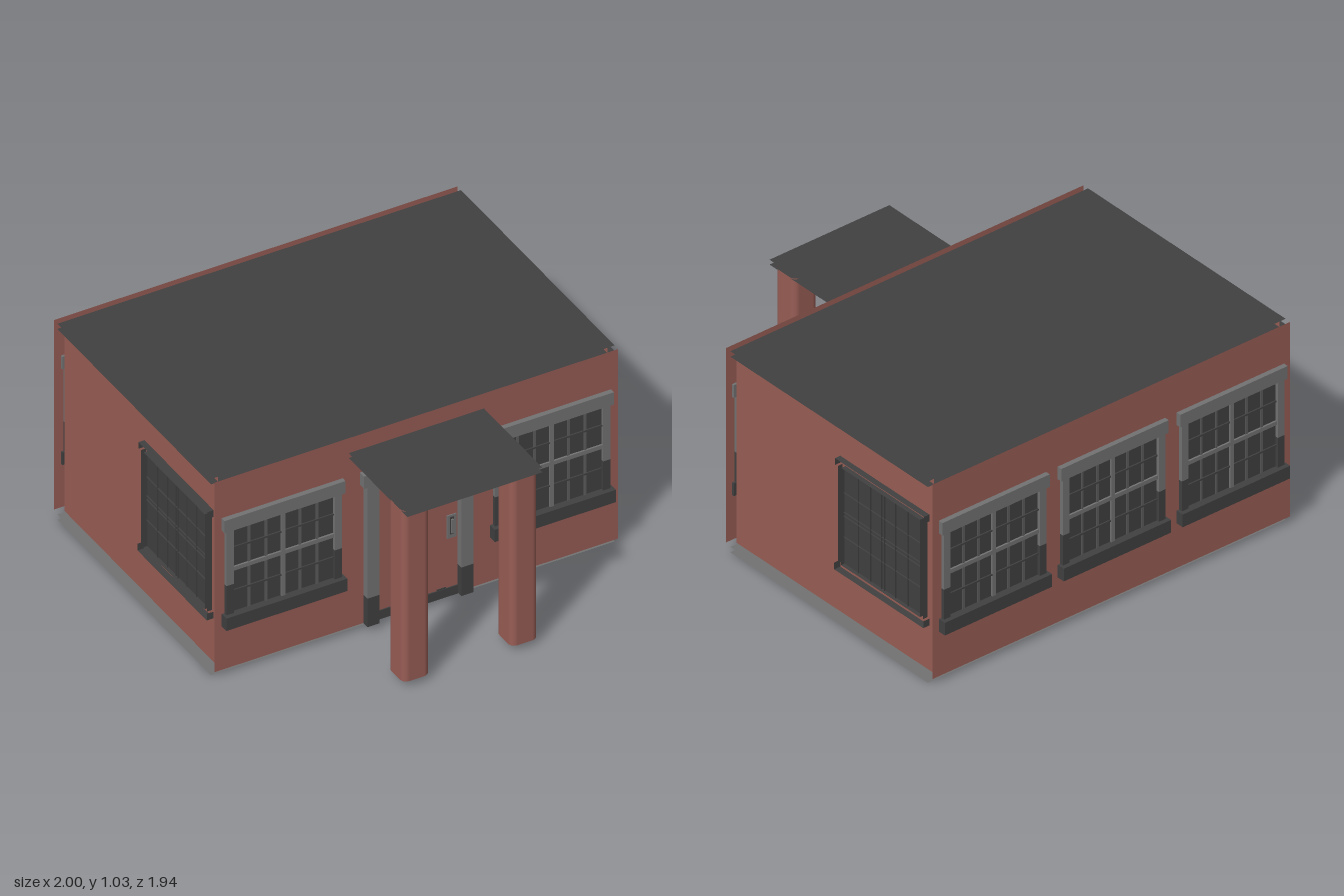
import * as THREE from 'three';

const mat = (name, color) => {
  const m = new THREE.MeshStandardMaterial({ color, side: THREE.DoubleSide });
  m.name = name;
  return m;
};

export function createModel() {
  const brick = mat('brick', 0x985d55);
  const dark = mat('charcoal', 0x404040);
  const grey = mat('grey', 0x727272);
  const bar = mat('glazing bar grey', 0x5c5c5c);

  const model = new THREE.Group();
  model.name = 'house';

  // Box given by its limits on each axis
  function box(parent, name, material, [x0, x1], [y0, y1], [z0, z1]) {
    const mesh = new THREE.Mesh(new THREE.BoxGeometry(x1 - x0, y1 - y0, z1 - z0), material);
    mesh.position.set((x0 + x1) / 2, (y0 + y1) / 2, (z0 + z1) / 2);
    mesh.name = name;
    parent.add(mesh);
  }

  // Single sheet, upright and facing +z until turned
  function sheet(parent, name, material, w, h, pos, rx = 0, ry = 0) {
    const mesh = new THREE.Mesh(new THREE.PlaneGeometry(w, h), material);
    mesh.position.set(...pos);
    mesh.rotation.set(rx, ry, 0);
    mesh.name = name;
    parent.add(mesh);
  }

  const midZ = -0.232, depth = 1.33, frontZ = 0.464, backZ = -0.928, sideX = 0.965;
  const inset = 0.009; // window and door frames start this far behind the wall face
  const drop = -0.006; // level of the frames and columns

  // Walls: separate sheets with narrow gaps at the corners
  const side = Math.PI / 2;
  sheet(model, 'frontWall', brick, 2, 1, [0, 0.534, frontZ]);
  sheet(model, 'backWall', brick, 2, 1, [0, 0.534, backZ], 0, Math.PI);
  sheet(model, 'leftWall', brick, depth, 1, [sideX, 0.534, midZ], 0, side);
  sheet(model, 'rightWall', brick, depth, 1, [-sideX, 0.534, midZ], 0, -side);

  // Double-layered roof, floor and porch roof
  const up = -Math.PI / 2;
  sheet(model, 'roofTop', dark, 2, depth, [0, 1.034, midZ], up);
  sheet(model, 'roofUnderside', dark, 2, depth, [0, 1.006, midZ], up);
  sheet(model, 'floorTop', grey, 2, depth, [0, 0.028, midZ], up);
  sheet(model, 'floorUnderside', grey, 2, depth, [0, 0, midZ], up);
  sheet(model, 'porchRoofTop', dark, 0.67, 0.535, [0, 0.955, 0.703], up);
  sheet(model, 'porchRoofUnderside', dark, 0.67, 0.535, [0, 0.93, 0.703], up);

  // Front and back windows, built around x = 0 facing +z
  function framedWindow(name, x, z, turn) {
    const win = new THREE.Group();
    win.name = name;
    box(win, 'glass', dark, [-0.25, 0.25], [0.335, 0.775], [0.01, 0.013]);
    box(win, 'meetingRail', grey, [-0.25, 0.25], [0.552, 0.572], [0.013, 0.022]);
    box(win, 'centreBar', grey, [-0.01, 0.01], [0.335, 0.775], [0.013, 0.022]);
    for (const bx of [-0.168, -0.084, 0.084, 0.168]) {
      box(win, 'verticalBar', bar, [bx - 0.006, bx + 0.006], [0.335, 0.775], [0.013, 0.018]);
    }
    for (const y of [0.445, 0.672]) {
      box(win, 'horizontalBar', dark, [-0.25, 0.25], [y - 0.004, y + 0.004], [0.013, 0.02]);
    }
    box(win, 'lintel', grey, [-0.3, 0.3], [0.775, 0.84], [-0.003, 0.034]);
    box(win, 'sill', dark, [-0.3, 0.3], [0.27, 0.335], [-0.003, 0.05]);
    for (const s of [-1, 1]) {
      const xs = [s * 0.268 - 0.018, s * 0.268 + 0.018];
      box(win, 'upperJamb', grey, xs, [0.488, 0.775], [-0.003, 0.028]);
      box(win, 'lowerJamb', dark, xs, [0.335, 0.488], [-0.003, 0.028]);
    }
    win.position.set(x, drop, z);
    win.rotation.y = turn;
    model.add(win);
  }
  for (const x of [-0.665, 0.665]) framedWindow('frontWindow', x, frontZ - inset, 0);
  for (const x of [-0.665, 0, 0.665]) framedWindow('backWindow', x, backZ + inset, Math.PI);

  // Side windows: dark panes with thin fins for the rims and glazing bars
  for (const [s, z] of [[1, -0.565], [-1, 0.095]]) {
    const win = new THREE.Group();
    win.name = s > 0 ? 'leftWindow' : 'rightWindow';
    box(win, 'pane', dark, [-0.265, 0.265], [0.305, 0.805], [0.001, 0.005]);
    const acrossFin = (name, y, w, d) => sheet(win, name, dark, w, d, [0, y, d / 2], up);
    const uprightFin = (name, x, y, h, d) => sheet(win, name, dark, d, h, [x, y, d / 2], 0, side);
    acrossFin('lintelFin', 0.84, 0.6, 0.03);
    acrossFin('sillFin', 0.27, 0.6, 0.034);
    acrossFin('paneTopFin', 0.805, 0.53, 0.024);
    acrossFin('paneBottomFin', 0.305, 0.53, 0.024);
    for (const y of [0.445, 0.552, 0.572, 0.672]) acrossFin('barFin', y, 0.53, 0.012);
    for (const x of [-0.168, -0.084, -0.01, 0.01, 0.084, 0.168]) uprightFin('barFin', x, 0.555, 0.5, 0.012);
    for (const e of [-1, 1]) {
      uprightFin('paneSideFin', e * 0.265, 0.555, 0.5, 0.024);
      uprightFin('jambFin', e * 0.286, 0.555, 0.5, 0.024);
      uprightFin('lintelEnd', e * 0.3, 0.8225, 0.035, 0.03);
      uprightFin('sillEnd', e * 0.3, 0.2875, 0.035, 0.034);
    }
    win.position.set(s * sideX, drop, z);
    win.rotation.y = s * side;
    model.add(win);
  }

  // Door with surround, threshold and handle
  const door = new THREE.Group();
  door.name = 'door';
  box(door, 'doorPanel', brick, [-0.2, 0.2], [0.085, 0.775], [0.01, 0.014]);
  box(door, 'threshold', dark, [-0.2, 0.2], [0.04, 0.085], [0.01, 0.02]);
  for (const x of [-0.03, 0.12]) {
    box(door, 'thresholdStud', dark, [x - 0.022, x + 0.022], [0.085, 0.092], [0.01, 0.018]);
  }
  box(door, 'doorLintel', grey, [-0.28, 0.28], [0.775, 0.84], [-0.02, 0.045]);
  for (const s of [-1, 1]) {
    const xs = [s * 0.233 - 0.03, s * 0.233 + 0.03];
    box(door, 'upperDoorJamb', grey, xs, [0.19, 0.775], [-0.02, 0.045]);
    box(door, 'lowerDoorJamb', dark, xs, [0.04, 0.19], [-0.02, 0.045]);
  }
  box(door, 'handlePlate', grey, [0.147, 0.192], [0.345, 0.465], [0.014, 0.02]);
  box(door, 'handleSlot', dark, [0.16, 0.178], [0.365, 0.455], [0.02, 0.022]);
  box(door, 'handleGrip', grey, [0.164, 0.174], [0.374, 0.446], [0.022, 0.03]);
  door.position.set(0, drop, frontZ - inset);
  model.add(door);

  // Porch columns: hollow square tubes with rounded corners
  const half = 0.067, r = 0.03, steps = 5, pos = [], nor = [], idx = [];
  const ring = 4 * (steps + 1);
  for (let q = 0; q < 4; q++) {
    const mid = q * Math.PI / 2 + Math.PI / 4;
    const cx = Math.sign(Math.cos(mid)) * (half - r), cz = Math.sign(Math.sin(mid)) * (half - r);
    for (let i = 0; i <= steps; i++) {
      const a = (q + i / steps) * Math.PI / 2, c = Math.cos(a), s = Math.sin(a);
      for (const y of [0.04, 0.94]) {
        pos.push(cx + r * c, y, cz + r * s);
        nor.push(c, 0, s);
      }
    }
  }
  for (let i = 0; i < ring; i++) {
    const a = 2 * i, b = 2 * ((i + 1) % ring);
    idx.push(a, a + 1, b, b, a + 1, b + 1);
  }
  const tube = new THREE.BufferGeometry();
  tube.setAttribute('position', new THREE.Float32BufferAttribute(pos, 3));
  tube.setAttribute('normal', new THREE.Float32BufferAttribute(nor, 3));
  tube.setIndex(idx);
  for (const s of [-1, 1]) {
    const column = new THREE.Mesh(tube, brick);
    column.name = 'porchColumn';
    column.position.set(s * 0.268, drop, 0.87);
    model.add(column);
  }

  return model;
}
